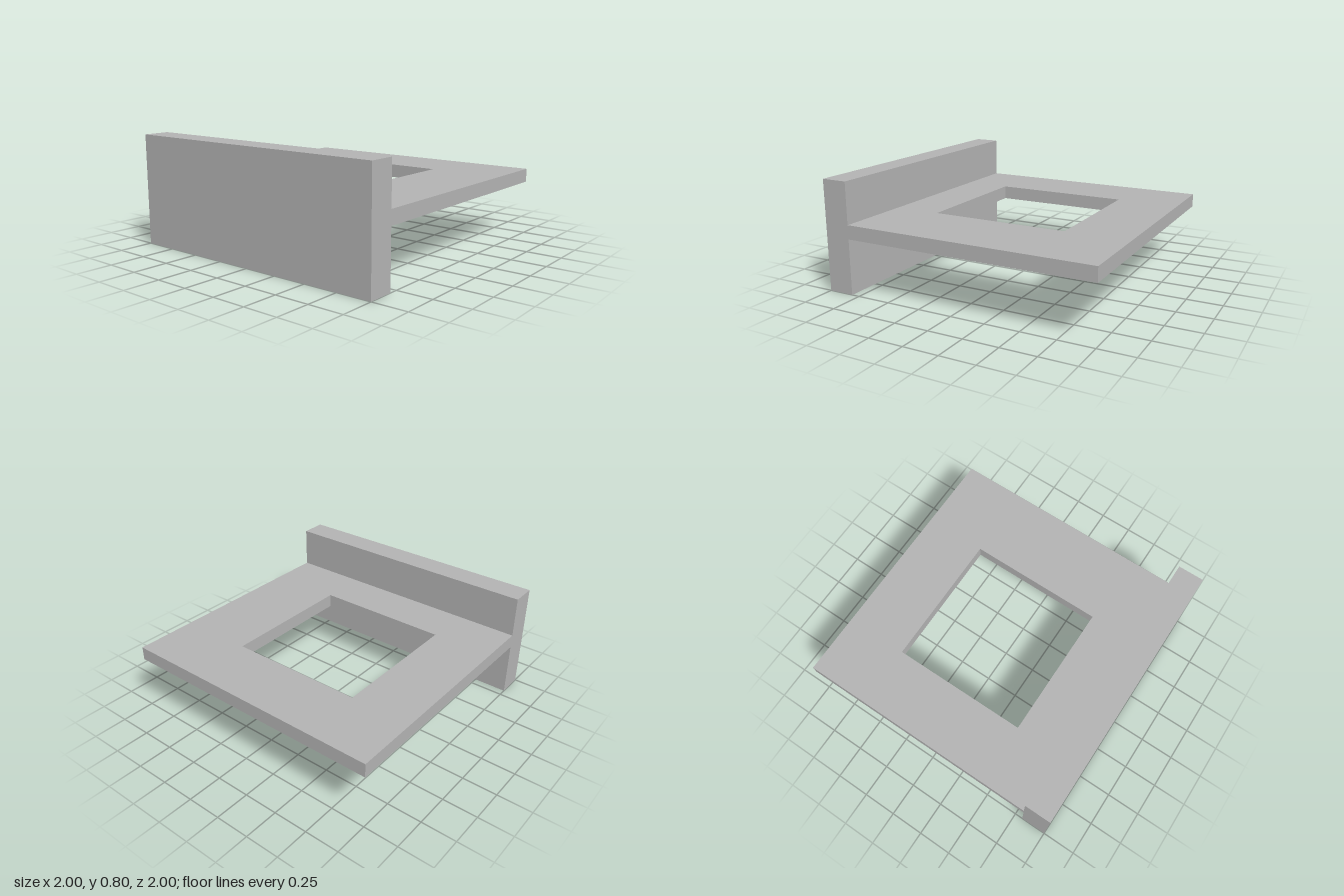
import * as THREE from 'three';

// Closed rectangle outline
function rectangle(PathType, x0, y0, x1, y1) {
  const path = new PathType();
  path.moveTo(x0, y0);
  path.lineTo(x1, y0);
  path.lineTo(x1, y1);
  path.lineTo(x0, y1);
  path.closePath();
  return path;
}

export function createModel() {
  const group = new THREE.Group();
  const grey = new THREE.MeshStandardMaterial({ color: 0xb2b2b2 });
  grey.name = 'grey';

  // Upright front panel
  const panelBack = 0.81;
  const panelDepth = 1 - panelBack;
  const frontPanel = new THREE.Mesh(new THREE.BoxGeometry(2, 0.8, panelDepth), grey);
  frontPanel.name = 'frontPanel';
  frontPanel.position.set(0, 0.4, panelBack + panelDepth / 2);
  group.add(frontPanel);

  // Horizontal plate with a square opening set slightly to one side,
  // drawn in x and z and extruded downwards
  const outline = rectangle(THREE.Shape, -1, -1, 1, panelBack);
  outline.holes.push(rectangle(THREE.Path, -0.55, -0.54, 0.45, 0.465));
  const plateGeometry = new THREE.ExtrudeGeometry(outline, { depth: 0.1, bevelEnabled: false });
  plateGeometry.rotateX(Math.PI / 2);
  const plate = new THREE.Mesh(plateGeometry, grey);
  plate.name = 'plateWithOpening';
  plate.position.y = 0.5;
  group.add(plate);

  return group;
}
